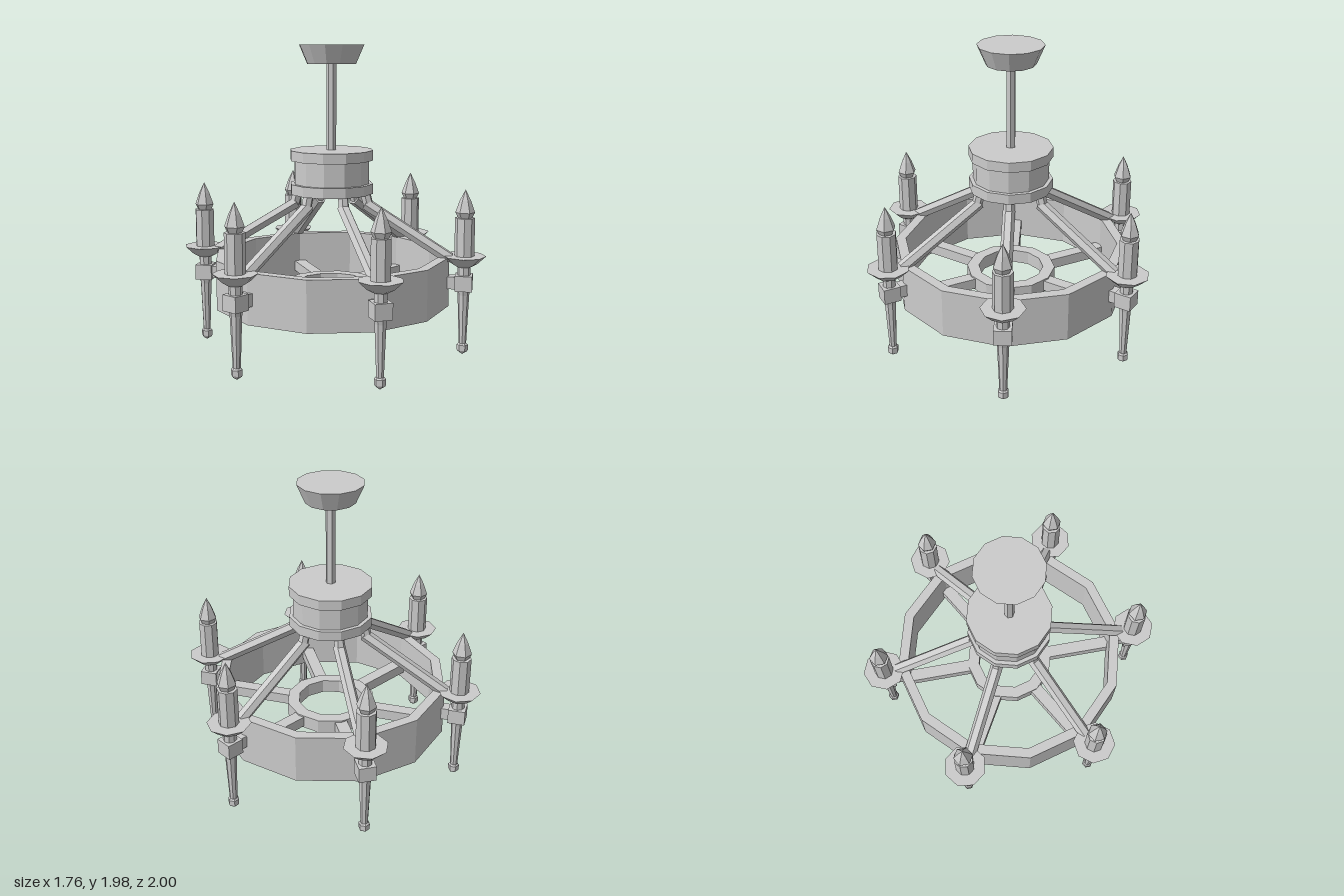
import * as THREE from 'three';

const iron = new THREE.MeshStandardMaterial({ color: 0xcccccc, flatShading: true });
iron.name = 'grey iron';

function part(name, geometry, parent) {
  const mesh = new THREE.Mesh(geometry, iron);
  mesh.name = name;
  parent.add(mesh);
  return mesh;
}

// Turned part from [radius, height] pairs, listed from bottom to top
function turned(name, sides, profile, parent) {
  const points = profile.map(([r, y]) => new THREE.Vector2(r, y));
  return part(name, new THREE.LatheGeometry(points, sides), parent);
}

// Twelve-sided band with a rectangular section
function band(name, outer, inner, y0, y1, parent) {
  return turned(name, 12, [[outer, y0], [outer, y1], [inner, y1], [inner, y0], [outer, y0]], parent);
}

function box(name, w, h, z0, z1, y, parent) {
  const mesh = part(name, new THREE.BoxGeometry(w, h, z1 - z0), parent);
  mesh.position.set(0, y, (z0 + z1) / 2);
}

// Hexagonal bar between two [radius, height] points
function bar(name, r, a, b, parent) {
  const dz = b[0] - a[0], dy = b[1] - a[1];
  const geometry = new THREE.CylinderGeometry(r, r, Math.hypot(dz, dy), 6).rotateY(Math.PI / 6);
  const mesh = part(name, geometry, parent);
  mesh.rotation.x = Math.atan2(dz, dy);
  mesh.position.set(0, (a[1] + b[1]) / 2, (a[0] + b[0]) / 2);
}

// Torch-shaped candle holder
function makeCandle() {
  const candle = new THREE.Group();
  candle.name = 'candle';
  turned('finial', 6, [[0, 0.005], [0.03, 0.025], [0.036, 0.035], [0.036, 0.07], [0.024, 0.082]], candle);
  turned('stem', 8, [[0.024, 0.075], [0.037, 0.4], [0.042, 0.43], [0.042, 0.59]], candle);
  turned('dripPlate', 8, [[0, 0.58], [0.05, 0.585], [0.085, 0.605], [0.138, 0.655], [0, 0.655]], candle);
  turned('candleStick', 8, [[0.063, 0.65], [0.063, 0.9], [0, 0.9]], candle);
  turned('flame', 6, [[0.045, 0.9], [0.062, 0.935], [0.035, 1.01], [0, 1.08]], candle);
  box('block', 0.11, 0.1, -0.055, 0.055, 0.48, candle);
  return candle;
}

export function createModel() {
  const model = new THREE.Group();
  model.name = 'chandelier';

  // Ceiling mount, rod and hub
  turned('ceilingMount', 12, [[0, 1.86], [0.158, 1.86], [0.21, 1.98], [0, 1.98]], model);
  turned('rod', 6, [[0.031, 1.3], [0.031, 1.87]], model);
  turned('hub', 12, [
    [0, 1.035], [0.27, 1.035], [0.27, 1.1], [0.245, 1.1],
    [0.245, 1.25], [0.27, 1.25], [0.27, 1.315], [0, 1.315],
  ], model);

  // Wheel
  band('outerRing', 0.766, 0.7, 0.32, 0.64, model);
  band('innerRing', 0.293, 0.215, 0.36, 0.45, model);

  // Six arms, each with a spoke and a candle
  for (let i = 0; i < 6; i++) {
    const arm = new THREE.Group();
    arm.name = 'arm';
    arm.rotation.y = i * Math.PI / 3;
    bar('armBracket', 0.034, [0.215, 1.06], [0.245, 0.95], arm);
    bar('armBeam', 0.04, [0.225, 0.97], [0.77, 0.632], arm);
    box('spoke', 0.08, 0.07, 0.27, 0.71, 0.405, arm);
    box('candleBracket', 0.07, 0.08, 0.72, 0.82, 0.48, arm);
    const candle = makeCandle();
    candle.position.z = 0.86;
    arm.add(candle);
    model.add(arm);
  }
  return model;
}
